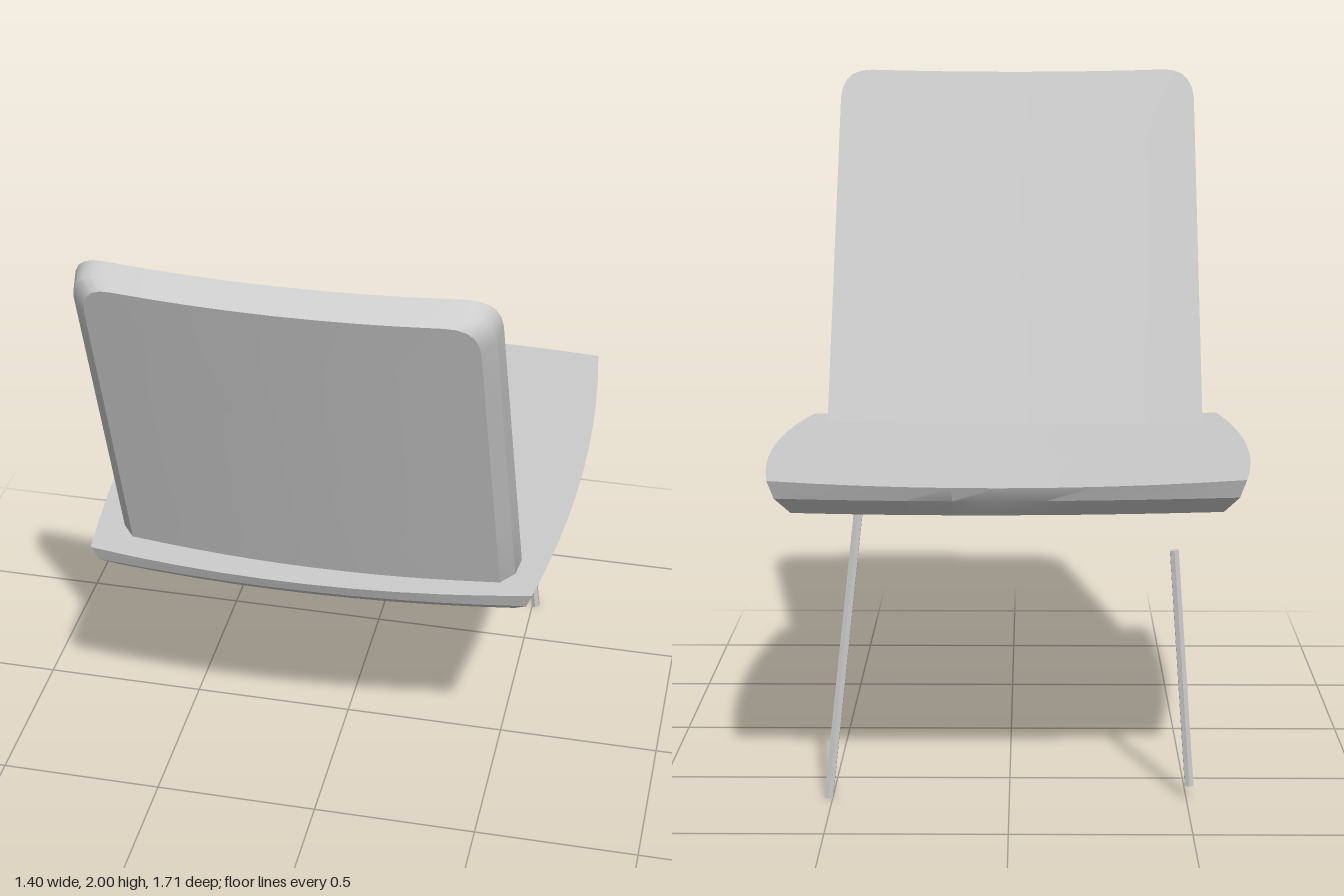
import * as THREE from 'three';
import { toCreasedNormals } from 'three/addons/utils/BufferGeometryUtils.js';

const material = new THREE.MeshStandardMaterial({ color: 0xcccccc });

// Closed cushion: scaled copies of an outline stacked along y, pinched shut at both ends.
// Each ring is [height, inset x, inset z, scale]; warp bends the result.
function cushion(outline, halfX, halfZ, rings, warp) {
  const loops = rings.map(([h, ix, iz, k]) => outline.map((p) =>
    warp(p.x * k * (1 - ix / halfX), h, p.y * k * (1 - iz / halfZ))));
  const pos = [];
  const n = outline.length;
  for (let i = 0; i < loops.length - 1; i++) {
    for (let j = 0; j < n; j++) {
      const a = loops[i][j], b = loops[i][(j + 1) % n];
      const d = loops[i + 1][j], c = loops[i + 1][(j + 1) % n];
      if (i > 0) pos.push(...a, ...b, ...c);
      if (i < loops.length - 2) pos.push(...a, ...c, ...d);
    }
  }
  const geo = new THREE.BufferGeometry();
  geo.setAttribute('position', new THREE.Float32BufferAttribute(pos, 3));
  return toCreasedNormals(geo, 0.4);
}

// Rings for a flat lower face, a bevelled rim and a flat upper face
function panelRings(depth, mid, midInset, insetX, insetZ) {
  return [
    ...[0, 0.35, 0.7, 1].map((k) => [-depth, insetX, insetZ, k]),
    [-mid, midInset, midInset, 1],
    ...[1, 0.7, 0.35, 0].map((k) => [0, 0, 0, k]),
  ];
}

function outlinePoints(shape, divisions) {
  const pts = shape.getPoints(divisions);
  if (pts[0].distanceTo(pts[pts.length - 1]) < 1e-6) pts.pop();
  return pts;
}

function createSeat() {
  // Square with four bulging edges and crisp corners
  const s = new THREE.Shape();
  s.moveTo(0.64, 0.64);
  s.quadraticCurveTo(0.75, 0, 0.66, -0.67);
  s.quadraticCurveTo(0.05, -0.755, -0.65, -0.64);
  s.quadraticCurveTo(-0.745, 0, -0.66, 0.67);
  s.quadraticCurveTo(0, 0.745, 0.64, 0.64);
  const geo = cushion(outlinePoints(s, 10), 0.68, 0.7,
    panelRings(0.094, 0.045, 0.018, 0.06, 0.072),
    // slight tilt, with the top a little dished
    (x, h, z) => [x, h - 0.025 * z + (h === 0 ? 0.014 * (x / 0.68) ** 2 - 0.006 : 0), z]);
  const seat = new THREE.Mesh(geo, material);
  seat.name = 'seat';
  seat.position.set(0, 0.921, -0.15);
  return seat;
}

function createBackrest() {
  // Rounded rectangle, narrowing a touch towards the top
  const H = 0.637, r = 0.1;
  const s = new THREE.Shape();
  s.moveTo(0.56, H - r);
  // straight sides are split so the panel can bend smoothly
  for (const t of [0.25, 0.5, 0.75, 1]) s.lineTo(0.56 + 0.025 * t, H - r - t * 2 * (H - r));
  s.quadraticCurveTo(0.575, -H, 0.485, -H);
  for (let i = 1; i <= 8; i++) s.lineTo(0.485 - i * 0.12375, -H);
  s.quadraticCurveTo(-0.59, -H, -0.602, -H + r);
  for (const t of [0.25, 0.5, 0.75, 1]) s.lineTo(-0.602 + 0.015 * t, -H + r + t * 2 * (H - r));
  s.quadraticCurveTo(-0.58, H, -0.49, H);
  for (let i = 1; i <= 8; i++) s.lineTo(-0.49 + i * 0.11875, H);
  s.quadraticCurveTo(0.555, H, 0.56, H - r);
  const geo = cushion(outlinePoints(s, 5), 0.585, H,
    panelRings(0.09, 0.055, 0.008, 0.045, 0.015),
    // sideways curve wrapping forward, thicker towards the bottom
    (x, h, z) => [x, h * (1.08 - 0.2 * z) + 0.034 * (x / 0.585) ** 2, z]);
  const back = new THREE.Mesh(geo, material);
  back.name = 'backrest';
  back.rotation.x = -Math.PI / 2 + 0.365; // stand up and recline
  back.position.set(0, 1.403, 0.5475);
  return back;
}

// Thin straight leg between two points
function createLeg(name, top, bottom) {
  const a = new THREE.Vector3(...top), b = new THREE.Vector3(...bottom);
  const dir = a.clone().sub(b);
  const geo = toCreasedNormals(new THREE.CylinderGeometry(0.014, 0.014, dir.length(), 6), 0.4);
  const leg = new THREE.Mesh(geo, material);
  leg.name = name;
  leg.position.copy(a).add(b).multiplyScalar(0.5);
  leg.quaternion.setFromUnitVectors(new THREE.Vector3(0, 1, 0), dir.normalize());
  return leg;
}

export function createModel() {
  const chair = new THREE.Group();
  chair.name = 'chair';
  chair.add(
    createSeat(),
    createBackrest(),
    createLeg('leftLeg', [0.423, 0.82, -0.647], [0.511, 0.008, -0.69]),
    createLeg('rightLeg', [-0.46, 0.722, -0.672], [-0.508, 0.045, -0.688]),
  );
  return chair;
}
